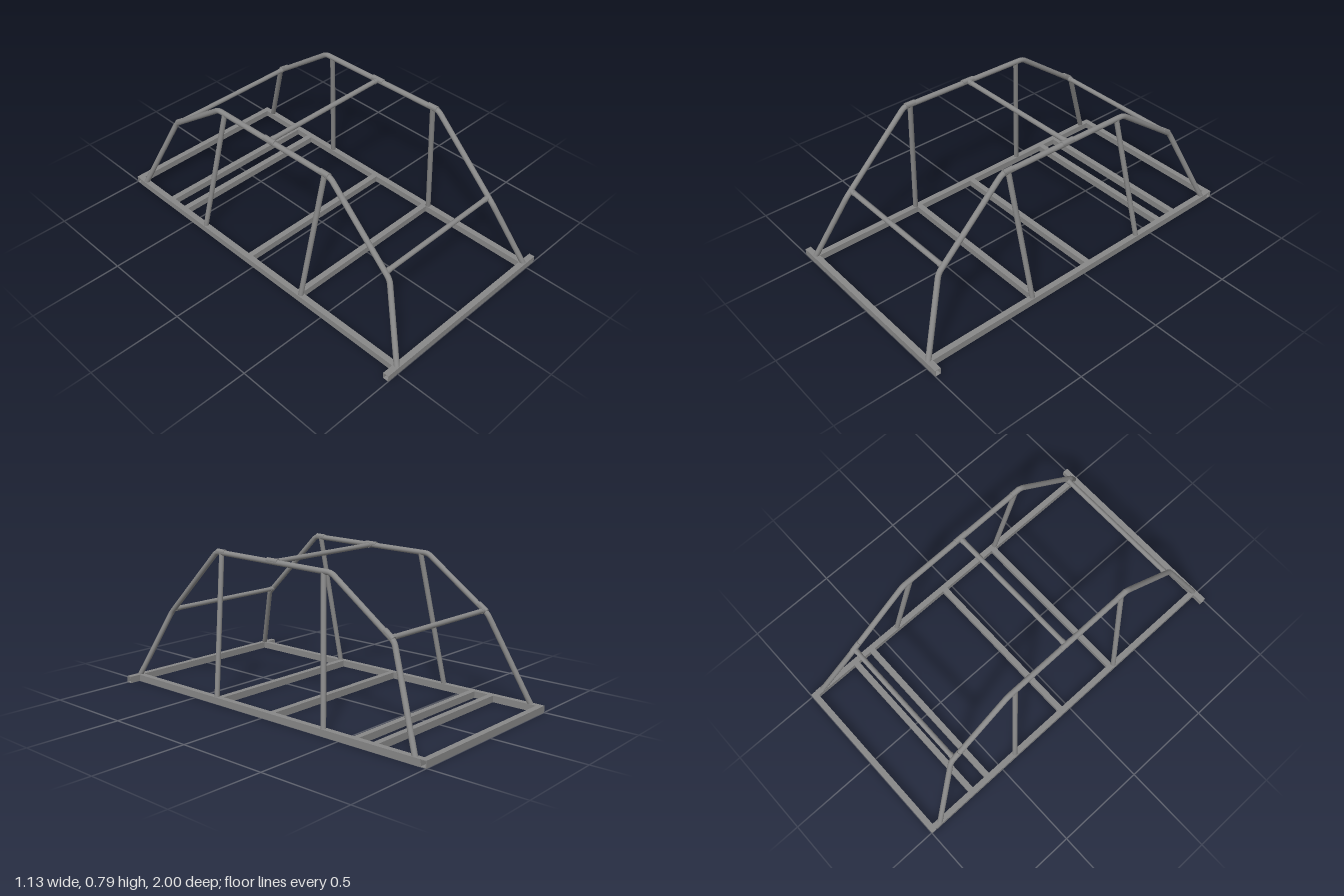
import * as THREE from 'three';

const material = new THREE.MeshStandardMaterial({ color: 0x888888, side: THREE.DoubleSide });
const V = (x, y, z) => new THREE.Vector3(x, y, z);
const BEAM_H = 0.036;

function add(parent, name, geometry) {
  const mesh = new THREE.Mesh(geometry, material);
  mesh.name = name;
  parent.add(mesh);
  return mesh;
}

// Hollow rectangular section, open at both ends, centred and running along z
function boxSection(width, length) {
  const rect = (Shape, w, h) => new Shape([
    new THREE.Vector2(-w, -h), new THREE.Vector2(w, -h),
    new THREE.Vector2(w, h), new THREE.Vector2(-w, h)]);
  const shape = rect(THREE.Shape, width / 2, BEAM_H / 2);
  shape.holes.push(rect(THREE.Path, width / 2 - 0.003, BEAM_H / 2 - 0.003));
  return new THREE.ExtrudeGeometry(shape, { depth: length, bevelEnabled: false })
    .translate(0, 0, -length / 2);
}

// Straight round tube between two points
function rod(parent, name, a, b, radius) {
  const mesh = add(parent, name, new THREE.CylinderGeometry(radius, radius, a.distanceTo(b), 20));
  mesh.position.copy(a).add(b).multiplyScalar(0.5);
  mesh.quaternion.setFromUnitVectors(V(0, 1, 0), b.clone().sub(a).normalize());
}

// Path through the points with each corner rounded
function bentPath(points, bend) {
  const path = new THREE.CurvePath();
  let start = points[0];
  for (let i = 1; i < points.length - 1; i++) {
    const p = points[i];
    const before = p.clone().add(points[i - 1].clone().sub(p).setLength(bend));
    const after = p.clone().add(points[i + 1].clone().sub(p).setLength(bend));
    path.add(new THREE.LineCurve3(start, before));
    path.add(new THREE.QuadraticBezierCurve3(before, p, after));
    start = after;
  }
  path.add(new THREE.LineCurve3(start, points[points.length - 1]));
  return path;
}

export function createModel() {
  const model = new THREE.Group();
  model.name = 'tubeFrame';

  // Ladder base: side rails and cross beams
  const base = new THREE.Group();
  base.name = 'baseFrame';
  model.add(base);
  for (const side of [1, -1]) {
    add(base, side > 0 ? 'leftRail' : 'rightRail', boxSection(0.032, 1.936))
      .position.set(side * 0.489, BEAM_H / 2, 0);
  }
  const beams = [
    ['frontBeam', 0.984, 1.13], ['frontCrossBeam', 0.324, 0.95],
    ['middleCrossBeam', -0.049, 0.95], ['rearInnerCrossBeam', -0.587, 0.95],
    ['rearOuterCrossBeam', -0.701, 0.95], ['rearBeam', -0.984, 1.006]];
  for (const [name, z, length] of beams) {
    const beam = add(base, name, boxSection(0.032, length));
    beam.rotation.y = Math.PI / 2;
    beam.position.set(0, BEAM_H / 2, z);
  }

  // Bent side hoops with their struts and raised joint saddles
  for (const side of [1, -1]) {
    const hoop = new THREE.Group();
    hoop.name = side > 0 ? 'leftHoop' : 'rightHoop';
    model.add(hoop);
    const foot = side * 0.489, top = side * 0.38;
    const path = bentPath([
      V(foot, 0.03, 0.983), V(top, 0.395, 0.82), V(top, 0.77, 0.437),
      V(top, 0.755, -0.35), V(top, 0.488, -0.724), V(foot, 0.03, -0.93)], 0.022);
    add(hoop, 'hoopTube', new THREE.TubeGeometry(path, 260, 0.0142, 16));
    rod(hoop, 'frontStrut', V(foot, 0.03, 0.343), V(top, 0.766, 0.4), 0.0135);
    rod(hoop, 'rearStrut', V(foot, 0.03, -0.397), V(top, 0.753, -0.302), 0.0135);
    rod(hoop, 'roofSaddle', V(top, 0.768, 0.068), V(top, 0.767, -0.005), 0.0142);
    rod(hoop, 'strutSaddle', V(top, 0.774, 0.43), V(top, 0.773, 0.373), 0.0142);
    rod(hoop, 'rearSaddle', V(top, 0.534, -0.668), V(top, 0.499, -0.717), 0.0142);
  }

  // Round cross tubes joining the hoops, with end sleeves
  const crossTubes = [
    ['lowerFrontCrossTube', 0.419, 0.79], ['roofCrossTube', 0.763, 0.028],
    ['rearCrossTube', 0.503, -0.703]];
  for (const [name, y, z] of crossTubes) {
    const bar = new THREE.Group();
    bar.name = name;
    model.add(bar);
    rod(bar, 'tube', V(-0.38, y, z), V(0.38, y, z), 0.0128);
    for (const side of [1, -1]) {
      rod(bar, 'endSleeve', V(side * 0.35, y, z), V(side * 0.375, y, z), 0.0145);
    }
  }
  return model;
}
